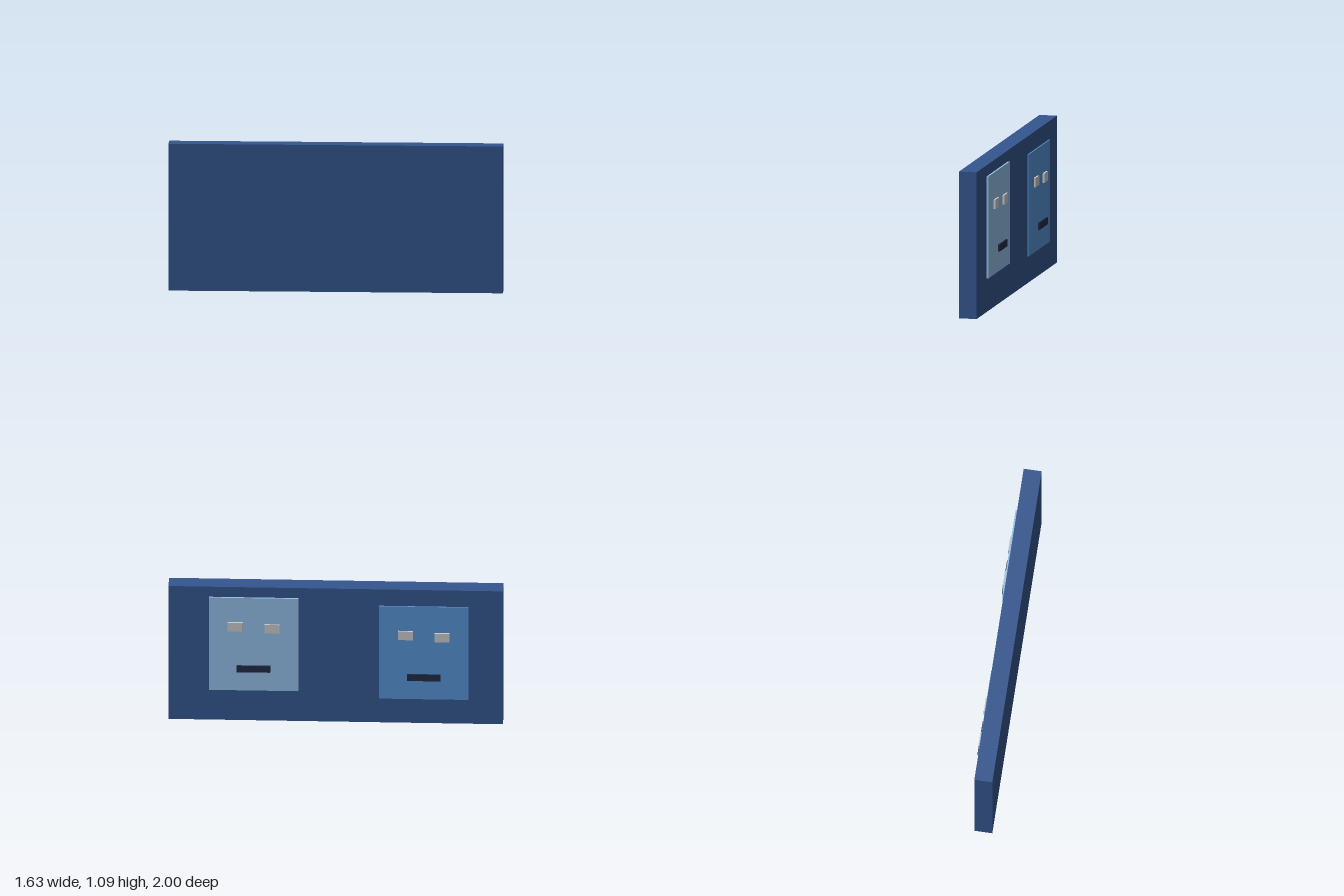
import * as THREE from 'three';

const paint = (color) => new THREE.MeshStandardMaterial({ color });
const slabPaint = paint(0x34568f);
const eyePaint = paint(0xcccccc);
const mouthPaint = paint(0x1e2a45);

function box(name, w, h, d, x, y, z, material) {
  const mesh = new THREE.Mesh(new THREE.BoxGeometry(w, h, d), material);
  mesh.name = name;
  mesh.position.set(x, y, z);
  return mesh;
}

// A flat face: square panel, two eyes and a mouth, stacked outward along z
function makeFace(name, color) {
  const face = new THREE.Group();
  face.name = name;
  face.add(box('facePanel', 0.655, 0.757, 0.014, 0, 0, 0.008, paint(color)));
  face.add(box('leftEye', 0.11, 0.07, 0.014, 0.134, 0.135, 0.027, eyePaint));
  face.add(box('rightEye', 0.11, 0.07, 0.014, -0.134, 0.148, 0.027, eyePaint));
  face.add(box('mouth', 0.245, 0.052, 0.012, 0, -0.188, 0.042, mouthPaint));
  return face;
}

export function createModel() {
  const model = new THREE.Group();
  model.name = 'facePanelBoard';

  // Upright slab
  model.add(box('slab', 2.448, 1.09, 0.133, 0, 0.545, 0, slabPaint));

  // Two faces on the slab's outer side
  const lightFace = makeFace('lightFace', 0x92c0e8);
  lightFace.position.set(-0.6, 0.63, 0.067);
  const blueFace = makeFace('blueFace', 0x5592d4);
  blueFace.position.set(0.646, 0.578, 0.0615);
  model.add(lightFace, blueFace);

  // Whole board stands turned about the vertical
  model.rotation.y = Math.atan2(0.782, -0.623);
  const root = new THREE.Group();
  root.add(model);
  return root;
}
